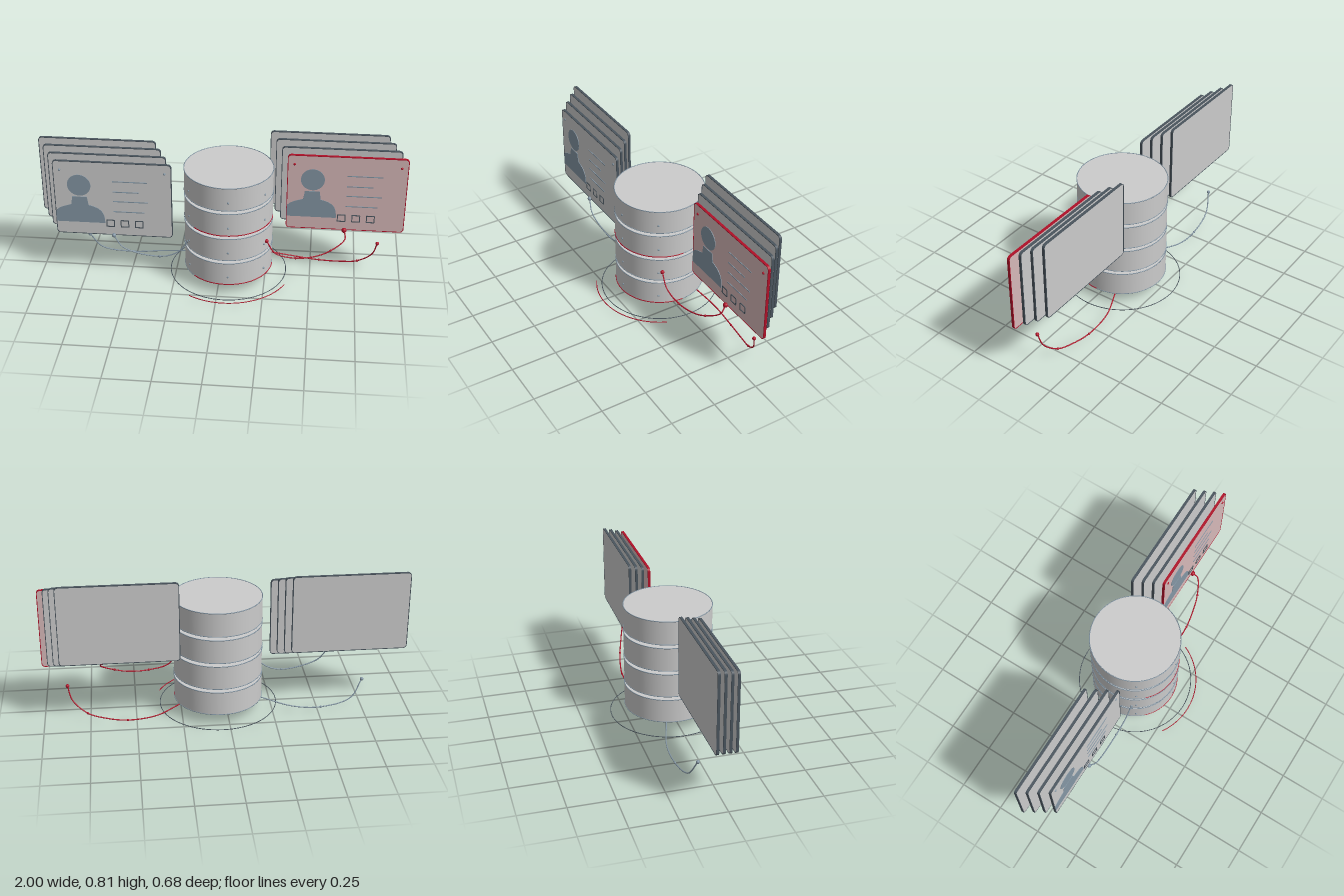
import * as THREE from 'three';

const mat = (color, side = THREE.FrontSide) => new THREE.MeshStandardMaterial({ color, side });
const GREY = mat(0xcccccc);
const SHELL = mat(0xcccccc, THREE.DoubleSide);
const EDGE = mat(0x4a555e);
const STEEL = mat(0x8496a4);
const INK = mat(0x8496a4);
const RED = mat(0xb01028);
const PINK = mat(0xd6b8b8);

const CX = 0.043, CZ = -0.014, R = 0.242; // drum axis and radius
const W = 0.643, H = 0.451, T = 0.012;    // card size

function add(parent, name, geometry, material, x = 0, y = 0, z = 0) {
  const mesh = new THREE.Mesh(geometry, material);
  mesh.name = name;
  mesh.position.set(x, y, z);
  parent.add(mesh);
  return mesh;
}

// Horizontal ring or arc; angles run from +x towards the front (+z)
function ring(parent, name, radius, tube, material, y, start = 0, arc = Math.PI * 2) {
  const g = new THREE.TorusGeometry(radius, tube, 6, 72, arc);
  g.rotateZ(start);
  g.rotateX(Math.PI / 2);
  return add(parent, name, g, material, 0, y, 0);
}

function roundedRect(target, x, y, w, h, r) {
  target.moveTo(x + r, y);
  target.lineTo(x + w - r, y);
  target.absarc(x + w - r, y + r, r, -Math.PI / 2, 0);
  target.lineTo(x + w, y + h - r);
  target.absarc(x + w - r, y + h - r, r, 0, Math.PI / 2);
  target.lineTo(x + r, y + h);
  target.absarc(x + r, y + h - r, r, Math.PI / 2, Math.PI);
  target.lineTo(x, y + r);
  target.absarc(x + r, y + r, r, Math.PI, Math.PI * 1.5);
  return target;
}

const extrude = (shape, depth) =>
  new THREE.ExtrudeGeometry(shape, { depth, bevelEnabled: false, curveSegments: 8 });

function frame(x, y, w, h, r, width, depth) {
  const shape = roundedRect(new THREE.Shape(), x, y, w, h, r);
  shape.holes.push(roundedRect(new THREE.Path(), x + width, y + width,
    w - 2 * width, h - 2 * width, Math.max(r - width, 0.001)));
  return extrude(shape, depth);
}

// One disc of the storage drum: closed on top, open below
function createTier(index) {
  const tier = new THREE.Group();
  tier.name = 'drumTier';
  const h = 0.133;
  add(tier, 'tierWall', new THREE.CylinderGeometry(R, R, h, 72, 1, true), SHELL, 0, h / 2, 0);
  add(tier, 'tierTop', new THREE.CircleGeometry(R, 72).rotateX(-Math.PI / 2), SHELL, 0, h, 0);
  ring(tier, 'topRim', R, 0.0025, STEEL, h);
  ring(tier, 'bottomRim', R, 0.0025, STEEL, 0);
  if (index % 2 === 0) ring(tier, 'redRimArc', R, 0.003, RED, 0, 0, Math.PI * 0.75);
  for (const a of [0.57, 1.5, 2.56]) {
    add(tier, 'rivet', new THREE.SphereGeometry(0.006, 12, 8), STEEL,
      R * Math.cos(a), 0.047, R * Math.sin(a));
  }
  tier.position.set(0, 0.069 + index * 0.155, 0);
  return tier;
}

// Printed details on a front card, origin at its lower left corner
function addCardDetails(card, accent) {
  const z = T / 2, d = 0.003;
  add(card, 'portraitHead', new THREE.CylinderGeometry(0.064, 0.064, d, 40).rotateX(Math.PI / 2),
    INK, 0.138, 0.306, z + d / 2);
  const bust = new THREE.Shape();
  bust.moveTo(0.003, 0.075);
  bust.lineTo(0.272, 0.075);
  bust.bezierCurveTo(0.272, 0.15, 0.25, 0.168, 0.185, 0.185);
  bust.lineTo(0.178, 0.235);
  bust.lineTo(0.098, 0.235);
  bust.lineTo(0.09, 0.185);
  bust.bezierCurveTo(0.05, 0.172, 0.02, 0.165, 0.003, 0.14);
  add(card, 'portraitShoulders', extrude(bust, d), INK, 0, 0, z);
  [[0.337, 0.19], [0.273, 0.14], [0.214, 0.19], [0.15, 0.17]].forEach(([y, len]) =>
    add(card, 'textLine', new THREE.BoxGeometry(len, 0.005, d), INK, 0.322 + len / 2, y, z + d / 2));
  for (let i = 0; i < 3; i++) {
    add(card, 'checkBox', frame(0.278 + i * 0.079, 0.052, 0.047, 0.045, 0.004, 0.005, d), EDGE, 0, 0, z);
  }
  for (const x of [0.037, W - 0.037]) {
    add(card, 'cornerStud', new THREE.SphereGeometry(0.007, 12, 8), accent, x, 0.396, z);
  }
}

// Stack of four cards, stepping back, up and towards the +/-x side
function createCardStack(name, x, y, z, face, edge, accent) {
  const stack = new THREE.Group();
  stack.name = name;
  for (let i = 0; i < 4; i++) {
    const card = new THREE.Group();
    card.name = 'card';
    const body = roundedRect(new THREE.Shape(), 0.002, 0.002, W - 0.004, H - 0.004, 0.018);
    add(card, 'cardPanel', extrude(body, T), i ? GREY : face, 0, 0, -T / 2);
    add(card, 'cardEdge', frame(0, 0, W, H, 0.02, 0.004, T + 0.002), i ? EDGE : edge, 0, 0, -T / 2 - 0.001);
    if (i === 0) addCardDetails(card, accent);
    card.position.set(x - i * 0.0333, y + i * 0.0225, z - i * 0.0446);
    stack.add(card);
  }
  return stack;
}

// Sagging cable with beads along it and end balls of the given radii
function createCable(name, points, material, startBall, endBall) {
  const cable = new THREE.Group();
  cable.name = name;
  const pts = points.map((p) => new THREE.Vector3(...p));
  const curve = new THREE.CatmullRomCurve3(pts);
  add(cable, 'cableTube', new THREE.TubeGeometry(curve, 64, 0.0035, 8), material);
  pts.forEach((p, i) => {
    const r = i === 0 ? startBall : i === pts.length - 1 ? endBall : i % 2 === 0 ? 0.0065 : 0;
    if (r) add(cable, 'cableBead', new THREE.SphereGeometry(r, 16, 12), material, p.x, p.y, p.z);
  });
  return cable;
}

export function createModel() {
  const model = new THREE.Group();
  model.name = 'databaseWithCards';

  // Drum and the rings around its foot
  const drum = new THREE.Group();
  drum.name = 'drum';
  drum.position.set(CX, 0, CZ);
  for (let i = 0; i < 4; i++) drum.add(createTier(i));
  ring(drum, 'groundRing', 0.323, 0.0022, EDGE, 0.022);
  ring(drum, 'groundArc', 0.353, 0.0025, RED, 0.022, 0.43, 1.7);
  model.add(drum);

  // Card stacks
  model.add(createCardStack('rightCards', -0.9, 0.257, 0.072, GREY, EDGE, STEEL));
  model.add(createCardStack('leftCards', 0.357, 0.297, -0.034, PINK, RED, RED));

  // Cables
  model.add(createCable('rightUpperCable', [
    [-0.583, 0.257, 0.083], [-0.53, 0.19, 0.097], [-0.33, 0.142, 0.095],
    [-0.23, 0.175, 0.095], [-0.17, 0.25, 0.095]], STEEL, 0.012, 0.009));
  model.add(createCable('rightLowerCable', [
    [-0.754, 0.152, -0.083], [-0.69, 0.053, -0.112], [-0.52, 0.016, -0.134],
    [-0.36, 0.03, -0.134], [-0.19, 0.07, -0.088]], STEEL, 0.01, 0));
  model.add(createCable('leftUpperCable', [
    [0.26, 0.28, 0.1], [0.31, 0.205, 0.103], [0.42, 0.177, 0.098],
    [0.53, 0.183, 0.078], [0.61, 0.21, 0.055], [0.685, 0.26, 0.01], [0.678, 0.297, -0.022]], RED, 0.011, 0.014));
  model.add(createCable('leftLowerCable', [
    [0.265, 0.07, -0.122], [0.39, 0.028, -0.158], [0.55, 0.0075, -0.158],
    [0.68, 0.018, -0.138], [0.765, 0.04, -0.118], [0.845, 0.11, -0.09], [0.868, 0.19, -0.073]], RED, 0, 0.01));
  return model;
}
